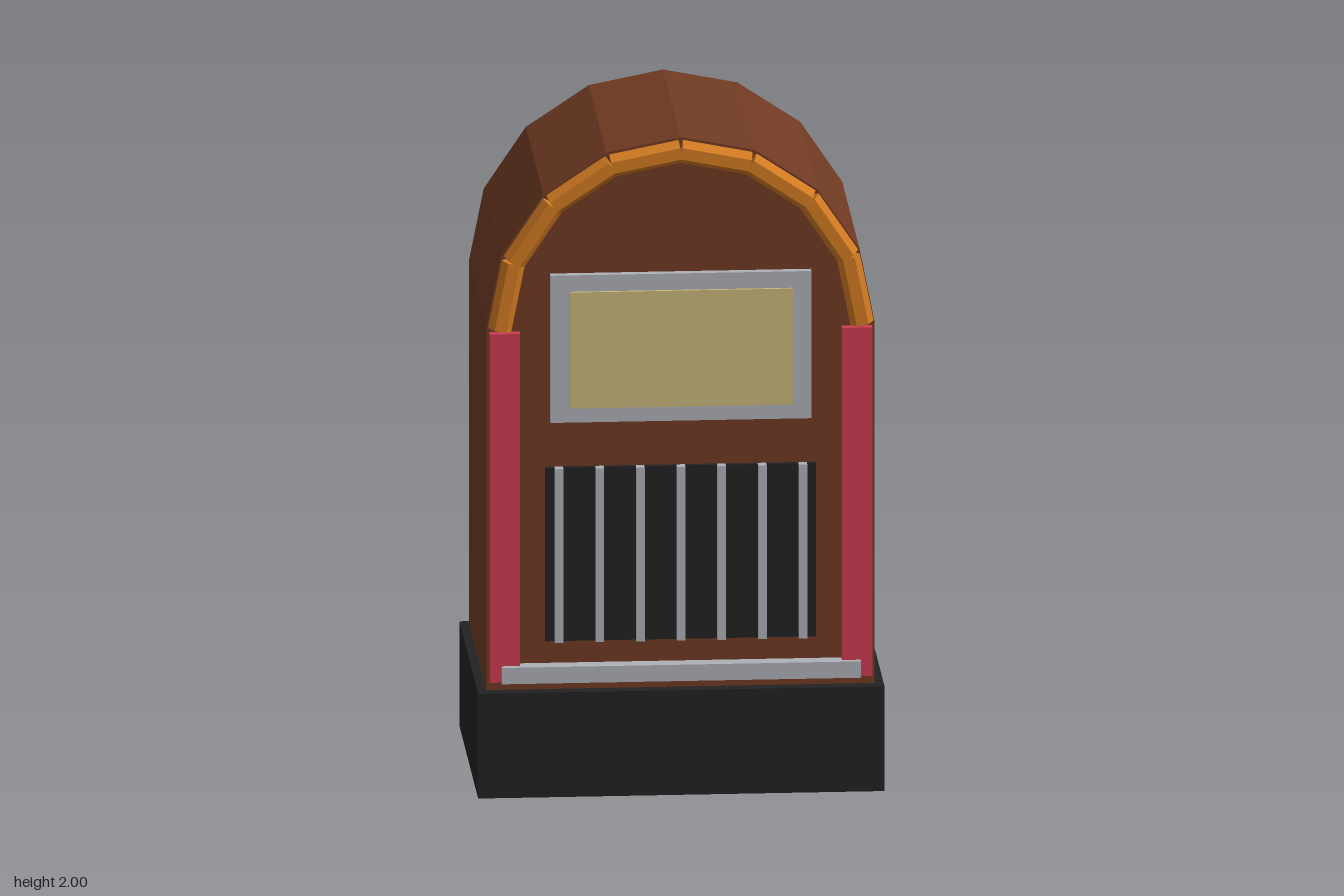
import * as THREE from 'three';

const mat = (name, color) => {
  const m = new THREE.MeshStandardMaterial({ color, flatShading: true });
  m.name = name;
  return m;
};

export function createModel() {
  const wood = mat('brown wood', 0x6f3a22);
  const black = mat('black', 0x222222);
  const red = mat('red', 0xcc3a50);
  const chrome = mat('chrome grey', 0xaeb0b8);
  const orange = mat('orange', 0xd17a22);
  const cream = mat('cream', 0xcab87a);

  const model = new THREE.Group();
  model.name = 'jukebox';

  const add = (name, geometry, material, parent = model) => {
    const mesh = new THREE.Mesh(geometry, material);
    mesh.name = name;
    parent.add(mesh);
    return mesh;
  };
  // Box given by its limits on each axis
  const box = (name, material, [x0, x1], [y0, y1], [z0, z1], parent) => {
    const mesh = add(name, new THREE.BoxGeometry(x1 - x0, y1 - y0, z1 - z0), material, parent);
    mesh.position.set((x0 + x1) / 2, (y0 + y1) / 2, (z0 + z1) / 2);
    return mesh;
  };

  const frontZ = 0.355, backZ = -0.39, springY = 1.427, radius = 0.573, steps = 8;
  const arcPoint = (r, i) => {
    const a = (i / steps) * Math.PI;
    return new THREE.Vector2(r * Math.cos(a), springY + r * Math.sin(a));
  };

  // Plinth
  box('base', black, [-0.6, 0.6], [0, 0.32], [-0.405, 0.395]);

  // Cabinet with a faceted arched top
  const outline = [new THREE.Vector2(-radius, 0.32), new THREE.Vector2(radius, 0.32)];
  for (let i = 0; i <= steps; i++) outline.push(arcPoint(radius, i));
  const cabinet = new THREE.ExtrudeGeometry(new THREE.Shape(outline), {
    depth: frontZ - backZ, bevelEnabled: false,
  });
  cabinet.translate(0, 0, backZ);
  add('cabinet', cabinet, wood);

  // Arch trim: separate six-sided rods, flat side to the front
  const arch = new THREE.Group();
  arch.name = 'archTrim';
  model.add(arch);
  for (let i = 0; i < steps; i++) {
    const a = arcPoint(0.535, i), b = arcPoint(0.535, i + 1);
    const rod = new THREE.CylinderGeometry(0.035, 0.035, a.distanceTo(b), 6);
    rod.rotateY(Math.PI / 6);
    const mesh = add('archRod', rod, orange, arch);
    mesh.position.set((a.x + b.x) / 2, (a.y + b.y) / 2, 0.373);
    mesh.rotation.z = Math.atan2(b.y - a.y, b.x - a.x) - Math.PI / 2;
  }

  // Side columns
  for (const s of [-1, 1]) {
    const column = box('sideColumn', red, [-0.045, 0.045], [0.35, 1.415], [0.345, 0.384]);
    column.position.x = s * 0.52;
  }

  // Display window
  box('displayFrame', chrome, [-0.385, 0.385], [1.14, 1.59], [0.345, 0.38]);
  box('displayPanel', cream, [-0.33, 0.33], [1.185, 1.54], [0.37, 0.389]);

  // Speaker grille
  const grille = new THREE.Group();
  grille.name = 'speakerGrille';
  model.add(grille);
  box('grilleBack', black, [-0.4, 0.4], [0.47, 1.0], [0.345, 0.37], grille);
  for (let i = -3; i <= 3; i++) {
    const x = i * 0.12;
    box('grilleBar', chrome, [x - 0.0125, x + 0.0125], [0.47, 1.001], [0.36, 0.39], grille);
  }

  // Lower trim strip
  box('lowerStrip', chrome, [-0.53, 0.53], [0.35, 0.4], [0.345, 0.403]);

  return model;
}
